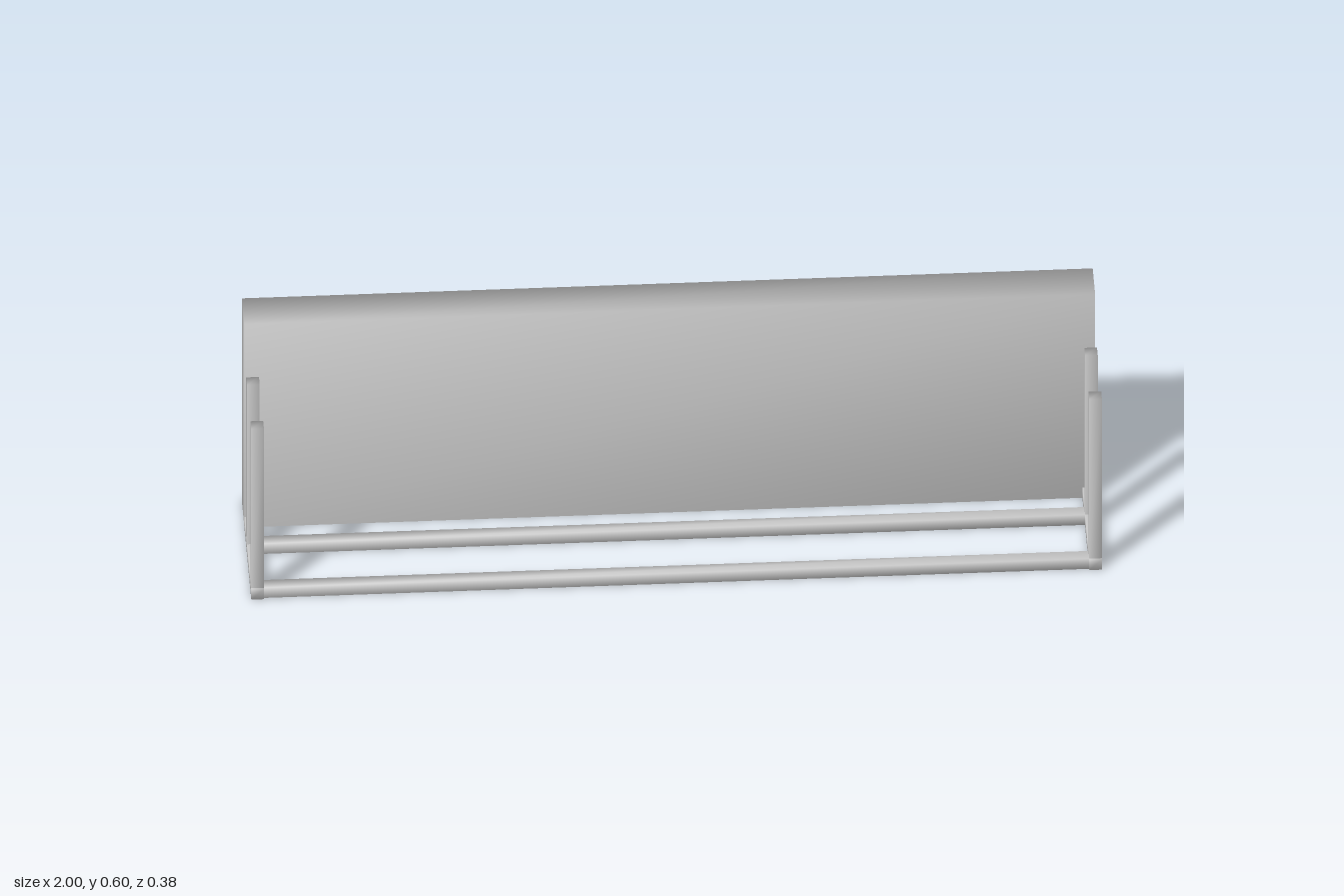
import * as THREE from 'three';
import { mergeVertices } from 'three/addons/utils/BufferGeometryUtils.js';

const material = new THREE.MeshStandardMaterial({ color: 0xcccccc });

// Box given by its min and max corners, with normals blended across the corners
function softBox(name, [x0, y0, z0], [x1, y1, z1]) {
  let geometry = new THREE.BoxGeometry(x1 - x0, y1 - y0, z1 - z0);
  geometry.deleteAttribute('normal');
  geometry.deleteAttribute('uv');
  geometry = mergeVertices(geometry);
  geometry.translate((x0 + x1) / 2, (y0 + y1) / 2, (z0 + z1) / 2);
  geometry.computeVertexNormals();
  const mesh = new THREE.Mesh(geometry, material);
  mesh.name = name;
  return mesh;
}

export function createModel() {
  const group = new THREE.Group();
  group.name = 'rack';
  const bar = 0.03;

  // Thick back panel
  group.add(softBox('backPanel', [-1, 0, -0.19], [1, 0.6, -0.09]));

  // Side rails running forward from the panel
  for (const [side, x] of [['right', -1], ['left', 1 - bar]]) {
    group.add(softBox(side + 'BaseRail', [x, 0, -0.09], [x + bar, bar, 0.19]));
  }

  // Two rows: a long rail with an upright post at each end
  for (const [row, z] of [['front', 0.155], ['middle', -0.015]]) {
    group.add(softBox(row + 'CrossRail', [-1 + bar, 0, z], [1 - bar, bar, z + bar]));
    for (const [side, x] of [['Right', -1], ['Left', 1 - bar]]) {
      group.add(softBox(row + side + 'Post', [x, bar, z], [x + bar, 0.5, z + bar]));
    }
  }
  return group;
}
